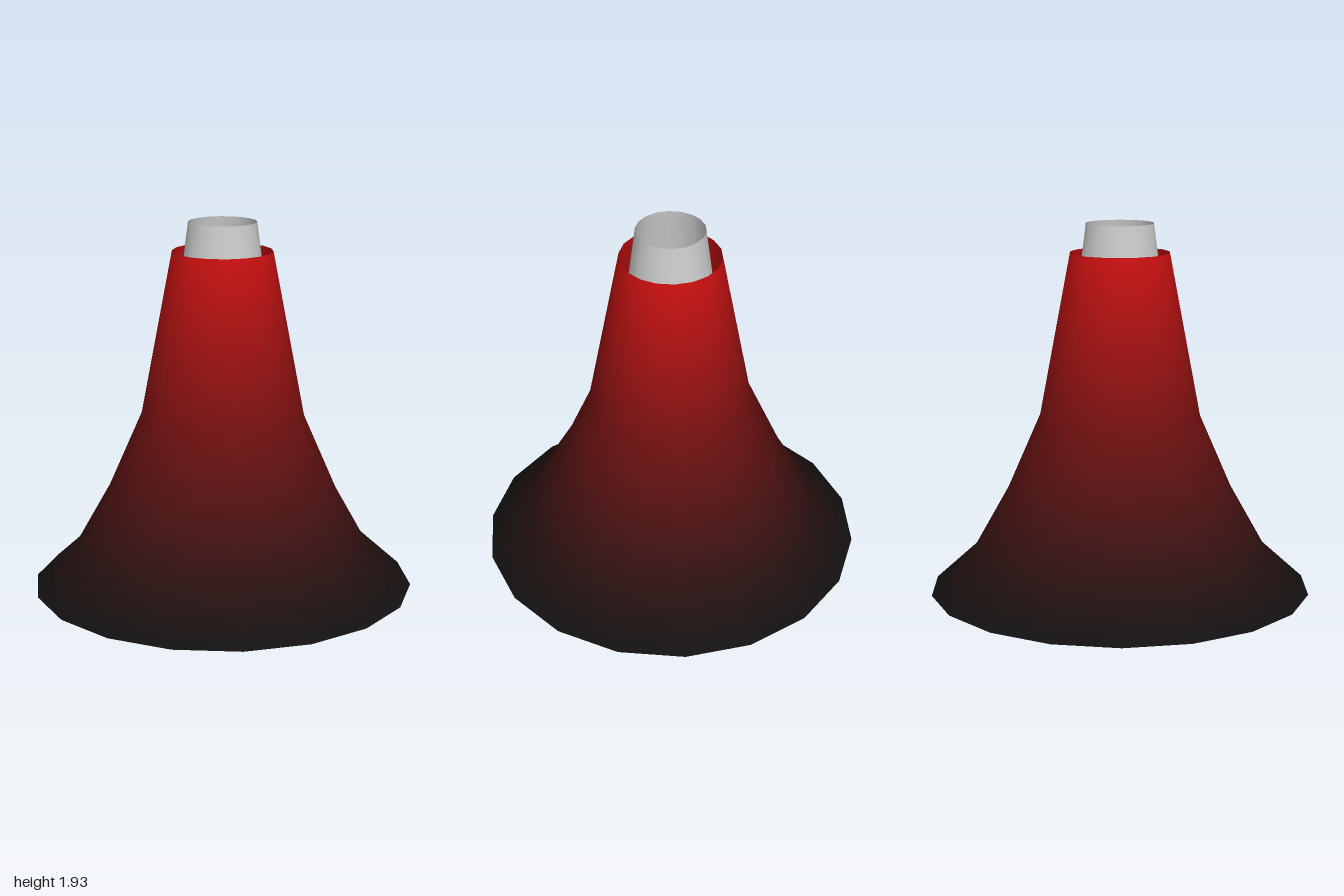
import * as THREE from 'three';

const SIDES = 18;
const OFFSET = 0.15; // how far the liner sits above the shell
const PROFILE = [[1, 0], [0.78, 0.2], [0.6, 0.52], [0.425, 0.92], [0.26, 1.78]]
  .map(([r, y]) => new THREE.Vector2(r, y));

const lathe = (points) => new THREE.LatheGeometry(points, SIDES, Math.PI / 2);

// One frustum whose normals blend smoothly with its neighbours
function bandGeometry(points, normals) {
  const geometry = lathe(points);
  const normal = geometry.attributes.normal;
  for (let i = 0; i <= SIDES; i++) {
    const phi = Math.PI / 2 + (i / SIDES) * Math.PI * 2;
    normals.forEach((n, j) =>
      normal.setXYZ(i * 2 + j, n.x * Math.sin(phi), n.y, n.x * Math.cos(phi)));
  }
  return geometry;
}

// Flared shell, fading from near black at the rim to red at the top
function createShell() {
  const shell = new THREE.Group();
  shell.name = 'outerShell';
  const height = PROFILE[PROFILE.length - 1].y;
  const n = lathe(PROFILE).attributes.normal;
  const normals = PROFILE.map((_, j) => new THREE.Vector2(n.getX(j), n.getY(j)));

  for (let j = 0; j < PROFILE.length - 1; j++) {
    const steps = Math.ceil((PROFILE[j + 1].y - PROFILE[j].y) / 0.045);
    const at = (list, t) => list[j].clone().lerp(list[j + 1], t);
    for (let s = 0; s < steps; s++) {
      const t0 = s / steps, t1 = (s + 1) / steps;
      const points = [at(PROFILE, t0), at(PROFILE, t1)];
      const bandNormals = [at(normals, t0).normalize(), at(normals, t1).normalize()];
      const red = Math.round(16 + 188 * (points[0].y + points[1].y) / 2 / height);
      const material = new THREE.MeshStandardMaterial({
        color: new THREE.Color(`rgb(${red}, 16, 16)`), side: THREE.DoubleSide,
      });
      const band = new THREE.Mesh(bandGeometry(points, bandNormals), material);
      band.name = 'shellBand';
      shell.add(band);
    }
  }
  return shell;
}

// Narrower open liner of the same shape, rising out of the top
function createLiner() {
  const liner = new THREE.Mesh(
    lathe(PROFILE.map((p) => new THREE.Vector2(p.x * 0.68, p.y + OFFSET))),
    new THREE.MeshStandardMaterial({ color: 0xcccccc, side: THREE.DoubleSide }));
  liner.name = 'innerLiner';
  return liner;
}

export function createModel() {
  const model = new THREE.Group();
  model.name = 'flaredBell';
  model.add(createShell(), createLiner());
  return model;
}
